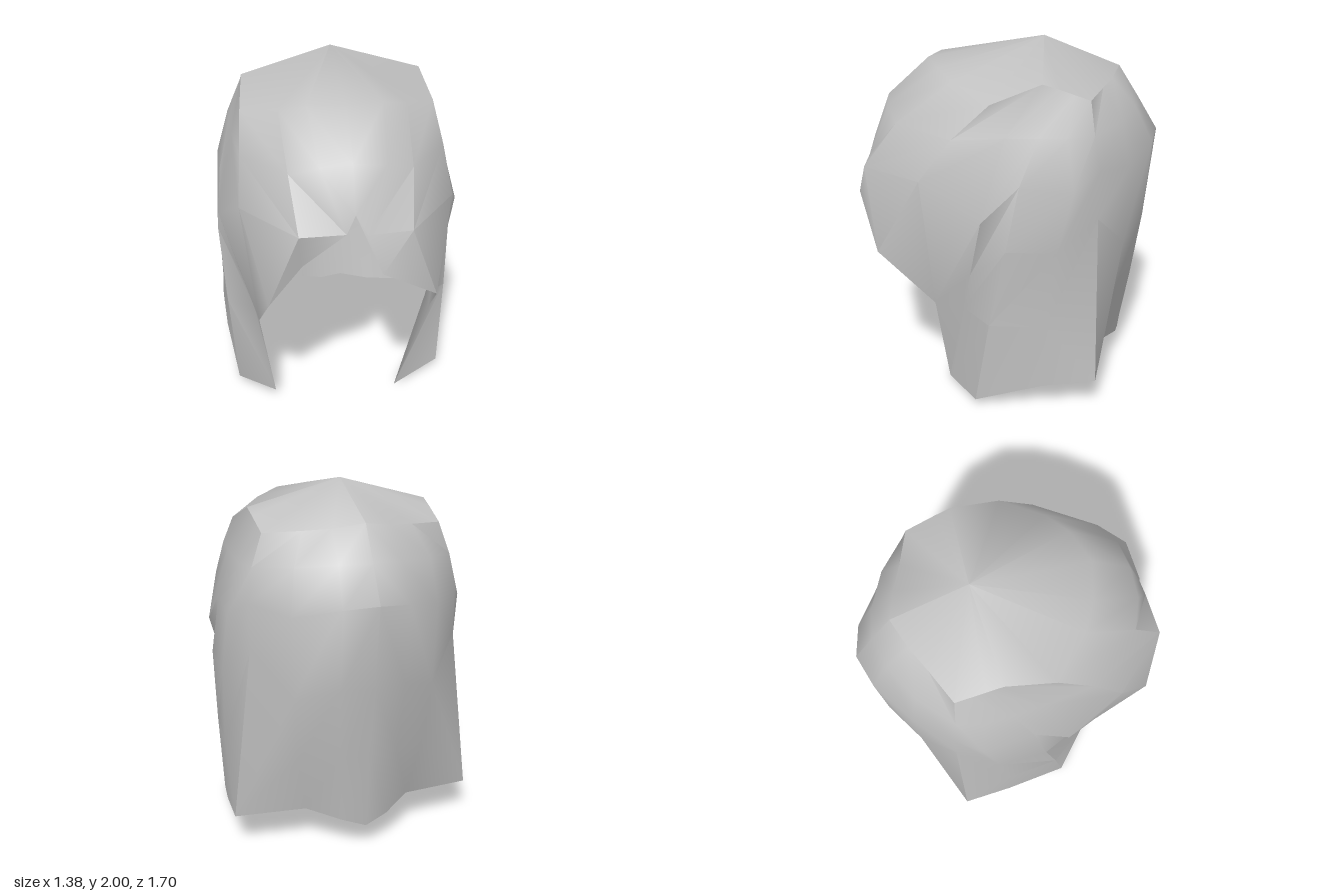
import * as THREE from 'three';
import { toCreasedNormals } from 'three/addons/utils/BufferGeometryUtils.js';

// Each strand runs from below the crown down to its hem; strands go from the forehead round to the nape.
const crown = [0, 2, -0.2];

const fringe = (root, tip, lock) => [
  [[0, 1.88, 0.44], [0, 1.67, 0.67], [0, 1.43, 0.76]],
  [[0.2, 1.87, 0.38], [0.17, 1.65, 0.66], root, tip],
  [[0.34, 1.83, 0.3], [0.32, 1.6, 0.6], [0.29, 1.34, 0.79], [0.45, 0.9, 0.72]],
  [[0.53, 1.76, 0.1], [0.55, 1.58, 0.3], [0.57, 1.36, 0.47], [0.49, 0.6, 0.41]],
  [[0.505, 1.86, -0.17], [0.58, 1.6, 0.02], [0.68, 1.17, 0.15], [0.58, 0.82, 0.21], [0.51, 0.58, 0.25], lock],
];

const side = [
  [[0.5, 1.83, -0.26], [0.59, 1.6, -0.15], [0.655, 1.36, -0.05], [0.69, 1.01, 0.02], [0.66, 0.55, 0.11], [0.62, 0.04, 0.19]],
  [[0.495, 1.8, -0.34], [0.59, 1.6, -0.3], [0.665, 1.33, -0.33], [0.685, 1, -0.25], [0.68, 0.55, -0.2], [0.675, 0.17, -0.19]],
  [[0.49, 1.77, -0.42], [0.55, 1.6, -0.44], [0.58, 1.42, -0.47], [0.58, 1.15, -0.47], [0.69, 0.21, -0.48]],
];

const back = [
  [[0.3, 1.785, -0.5], [0.37, 1.62, -0.6], [0.4, 1.38, -0.65], [0.39, 0.93, -0.64], [0.36, 0.55, -0.59], [0.3, 0.22, -0.53]],
  [[0.16, 1.8, -0.565], [0.17, 1.64, -0.7], [0.18, 1.44, -0.8], [0.18, 1, -0.77], [0.16, 0.6, -0.72], [0.13, 0.19, -0.66]],
  [[0, 1.83, -0.62], [0, 1.65, -0.735], [0, 1.46, -0.85], [0, 1, -0.795], [0, 0.6, -0.745], [0, 0.15, -0.69]],
];

// Skins neighbouring strands; strands that end early collapse to their last point.
function skinHalf(strands, sign, out) {
  const at = (s, r) => (r === 0 ? crown : s[Math.min(r, s.length) - 1]);
  const tri = (a, b, c) => {
    if (a === b || b === c || a === c) return;
    for (const p of sign > 0 ? [a, b, c] : [a, c, b]) out.push(p[0] * sign, p[1], p[2]);
  };
  for (let i = 0; i < strands.length - 1; i++) {
    for (let r = 0; r < 6; r++) {
      const a = at(strands[i], r), b = at(strands[i], r + 1);
      const c = at(strands[i + 1], r + 1), d = at(strands[i + 1], r);
      tri(a, b, d);
      tri(b, c, d);
    }
  }
}

export function createModel() {
  const group = new THREE.Group();
  group.name = 'hairpiece';
  const hairGrey = new THREE.MeshStandardMaterial({ color: 0xc0c0c0, side: THREE.DoubleSide });
  hairGrey.name = 'hair grey';

  // The two halves differ only in the fringe tip and the front lock.
  const points = [];
  const leftFringe = fringe([0.06, 1.33, 0.79], [0.13, 1.13, 0.85], [0.32, 0, 0.35]);
  const rightFringe = fringe([0.05, 1.34, 0.79], [0.27, 1.15, 0.75], [0.41, 0.07, 0.39]);
  skinHalf([...leftFringe, ...side, ...back], 1, points);
  skinHalf([...rightFringe, ...side, ...back], -1, points);

  const geometry = new THREE.BufferGeometry();
  geometry.setAttribute('position', new THREE.Float32BufferAttribute(points, 3));
  const hair = new THREE.Mesh(toCreasedNormals(geometry, 0.75), hairGrey);
  hair.name = 'hair';
  group.add(hair);
  return group;
}
